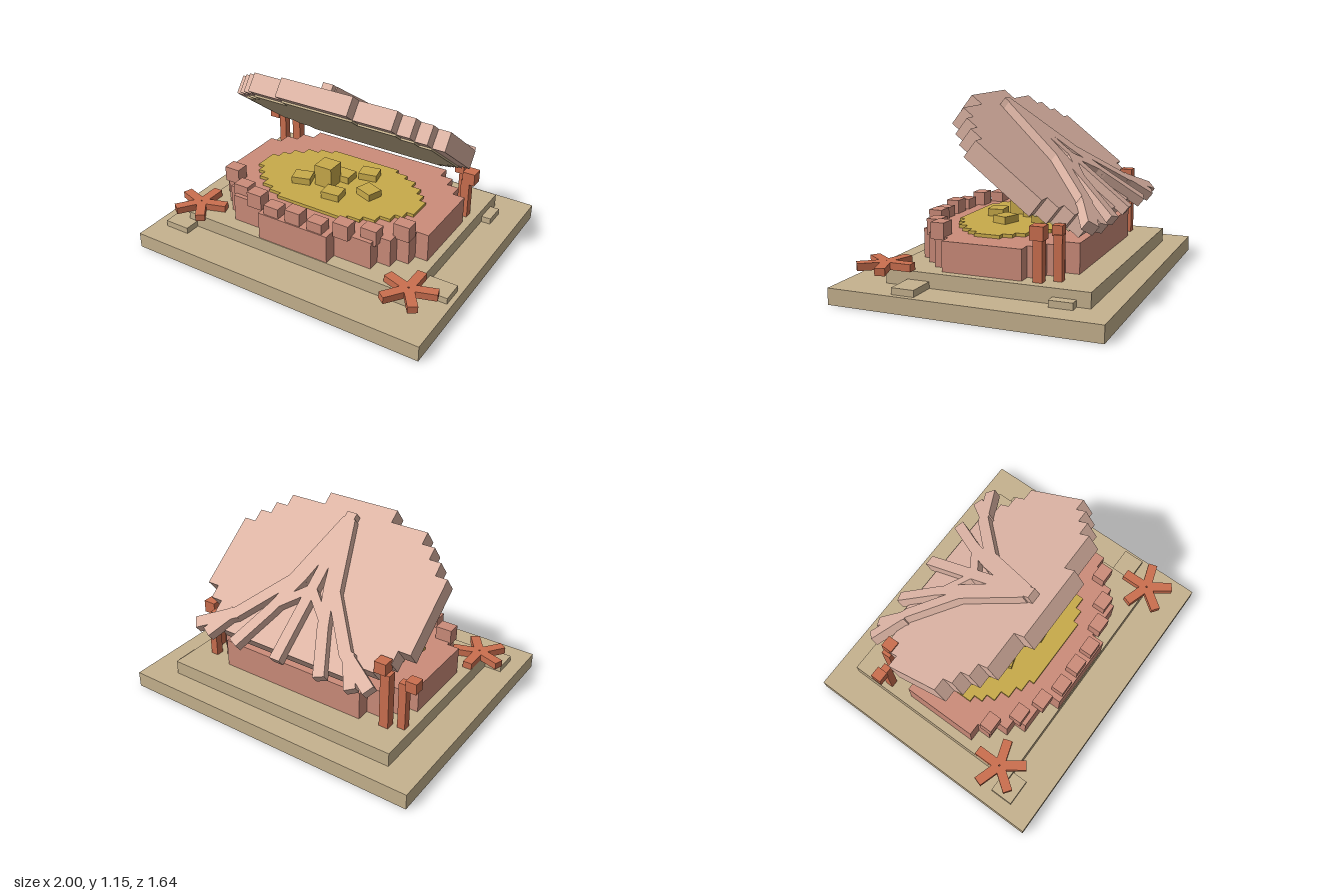
import * as THREE from 'three';

const mat = (name, color) => {
  const m = new THREE.MeshStandardMaterial({ color });
  m.name = name;
  return m;
};

export function createModel() {
  const sand = mat('sand', 0xc6b28e);
  const shellPink = mat('shell pink', 0xcc8c7a);
  const lidPink = mat('pale lid pink', 0xdeb5a5);
  const coral = mat('coral orange', 0xcb6f4f);
  const gold = mat('gold', 0xc8aa4a);

  const model = new THREE.Group();
  model.name = 'openShell';

  const add = (parent, name, geometry, material, x = 0, y = 0, z = 0, ry = 0) => {
    const mesh = new THREE.Mesh(geometry, material);
    mesh.name = name;
    mesh.position.set(x, y, z);
    mesh.rotation.y = ry;
    parent.add(mesh);
    return mesh;
  };
  // box from x, y and z ranges
  const block = (parent, name, material, x0, x1, y0, y1, z0, z1) =>
    add(parent, name, new THREE.BoxGeometry(x1 - x0, y1 - y0, z1 - z0), material,
      (x0 + x1) / 2, (y0 + y1) / 2, (z0 + z1) / 2);
  // mirrored stepped slab from rows of [half width, front z, back z]
  const steppedSlab = (rows, height) => {
    const side = [];
    const put = (x, z) => {
      const last = side[side.length - 1];
      if (!last || last[0] !== x || last[1] !== z) side.push([x, z]);
    };
    rows.forEach(([x, f], i) => {
      if (i) put(rows[i - 1][0], f);
      put(x, f);
    });
    for (let i = rows.length - 1; i >= 0; i--) {
      put(rows[i][0], rows[i][2]);
      if (i) put(rows[i - 1][0], rows[i][2]);
    }
    const outline = [...side, ...side.slice().reverse().map(([x, z]) => [-x, z])];
    const shape = new THREE.Shape(outline.map(([x, z]) => new THREE.Vector2(x, -z)));
    return new THREE.ExtrudeGeometry(shape, { depth: height, bevelEnabled: false }).rotateX(-Math.PI / 2);
  };

  // sandy base
  block(model, 'base', sand, -1, 1, 0, 0.1, -0.82, 0.82);
  block(model, 'upperBase', sand, -0.8, 0.79, 0.1, 0.19, -0.68, 0.56);
  block(model, 'sandPatch', sand, -0.91, -0.74, 0.1, 0.14, 0.51, 0.66);
  block(model, 'sandPatch', sand, 0.79, 0.97, 0.1, 0.14, 0.28, 0.42);
  block(model, 'sandPatch', sand, 0.7, 0.85, 0.1, 0.14, -0.6, -0.46);

  // lower shell
  const shellRows = [
    [0.245, 0.555, -0.515], [0.495, 0.47, -0.515], [0.58, 0.39, -0.43],
    [0.66, 0.31, -0.35], [0.74, 0.225, -0.265],
  ];
  add(model, 'lowerShell', steppedSlab(shellRows, 0.18), shellPink, 0, 0.19, 0);

  // rim teeth, alternating tall and short
  [[0, 0.505, 0.455], [0.155, 0.505, 0.435], [0.31, 0.465, 0.455], [0.46, 0.4, 0.435], [0.615, 0.29, 0.455]]
    .forEach(([x, z, top]) => (x ? [x, -x] : [0]).forEach((tx) =>
      block(model, 'rimTooth', shellPink, tx - 0.052, tx + 0.052, top - 0.1, top, z - 0.042, z + 0.042)));

  // golden bed with nuggets
  const bedRows = [[0.245, 0.335], [0.33, 0.3], [0.41, 0.26], [0.48, 0.2], [0.53, 0.14], [0.575, 0.08]]
    .map(([x, d]) => [x, 0.02 + d, 0.02 - d]);
  add(model, 'goldenBed', steppedSlab(bedRows, 0.02), gold, 0, 0.37, 0);
  block(model, 'largeNugget', gold, -0.12, 0, 0.39, 0.53, 0, 0.12);
  [[-0.21, 0.12, 0.3], [0.055, 0.18, 0.1], [0.235, 0.05, -0.35], [0.13, -0.14, 0.2], [0, -0.04, 0]]
    .forEach(([x, z, r]) => add(model, 'smallNugget', new THREE.BoxGeometry(0.12, 0.05, 0.1), gold, x, 0.41, z, r));

  // lid, hinged at its back edge
  const lid = new THREE.Group();
  lid.name = 'lid';
  lid.position.set(0, 0.4, -0.505);
  lid.rotation.x = THREE.MathUtils.degToRad(-38);
  model.add(lid);
  const H = 0.515;
  add(lid, 'lidShell', steppedSlab(shellRows, 0.12), lidPink, 0, 0, H);
  const liningRows = [
    [0.245, 0.47, -0.45], [0.495, 0.39, -0.45], [0.58, 0.31, -0.37], [0.66, 0.225, -0.28],
  ];
  add(lid, 'lidLining', steppedSlab(liningRows, 0.012), sand, 0, -0.012, H);

  // fan of ridges on the lid
  const ridge = (points, w) => {
    for (let i = 1; i < points.length; i++) {
      const [ax, az] = points[i - 1];
      const [bx, bz] = points[i];
      const len = Math.hypot(bx - ax, bz - az);
      add(lid, 'lidRidge', new THREE.BoxGeometry(w, 0.065, len + 0.02), lidPink,
        (ax + bx) / 2, 0.1425, (az + bz) / 2 + H, Math.atan2(bx - ax, bz - az));
    }
  };
  ridge([[0, 0.43], [0, -0.57]], 0.07);
  for (const s of [1, -1]) {
    ridge([[0.01 * s, 0.38], [0.15 * s, -0.08], [0.4 * s, -0.4], [0.62 * s, -0.54]], 0.075);
    ridge([[0.42 * s, -0.4], [0.52 * s, -0.57]], 0.07);
    ridge([[0.02 * s, 0.25], [0.1 * s, -0.05], [0.19 * s, -0.3], [0.31 * s, -0.57]], 0.07);
    ridge([[0, -0.1], [0.16 * s, -0.25]], 0.055);
  }

  // coral stalks with knobs
  const stalk = (x, z, top, w, kx, ky, kz, k) => {
    block(model, 'coralStalk', coral, x - w, x + w, 0.19, top, z - w, z + w);
    add(model, 'coralKnob', new THREE.BoxGeometry(k, k, k), coral, kx, ky, kz);
  };
  stalk(-0.74, -0.43, 0.5, 0.025, -0.797, 0.5, -0.428, 0.07);
  stalk(-0.65, -0.47, 0.55, 0.03, -0.62, 0.585, -0.47, 0.075);
  stalk(0.71, -0.355, 0.45, 0.028, 0.732, 0.472, -0.362, 0.08);
  stalk(0.65, -0.45, 0.45, 0.025, 0.63, 0.47, -0.44, 0.06);

  // five-armed starfish
  for (const [x, z] of [[-0.77, 0.47], [0.79, 0.555]]) {
    const star = new THREE.Group();
    star.name = 'starfish';
    star.position.set(x, 0.213, z);
    model.add(star);
    for (let i = 0; i < 5; i++) {
      const arm = new THREE.BoxGeometry(0.06, 0.044, 0.165).translate(0, 0, -0.0875);
      add(star, 'starfishArm', arm, coral, 0, 0, 0, (i * Math.PI * 2) / 5);
    }
  }
  return model;
}
